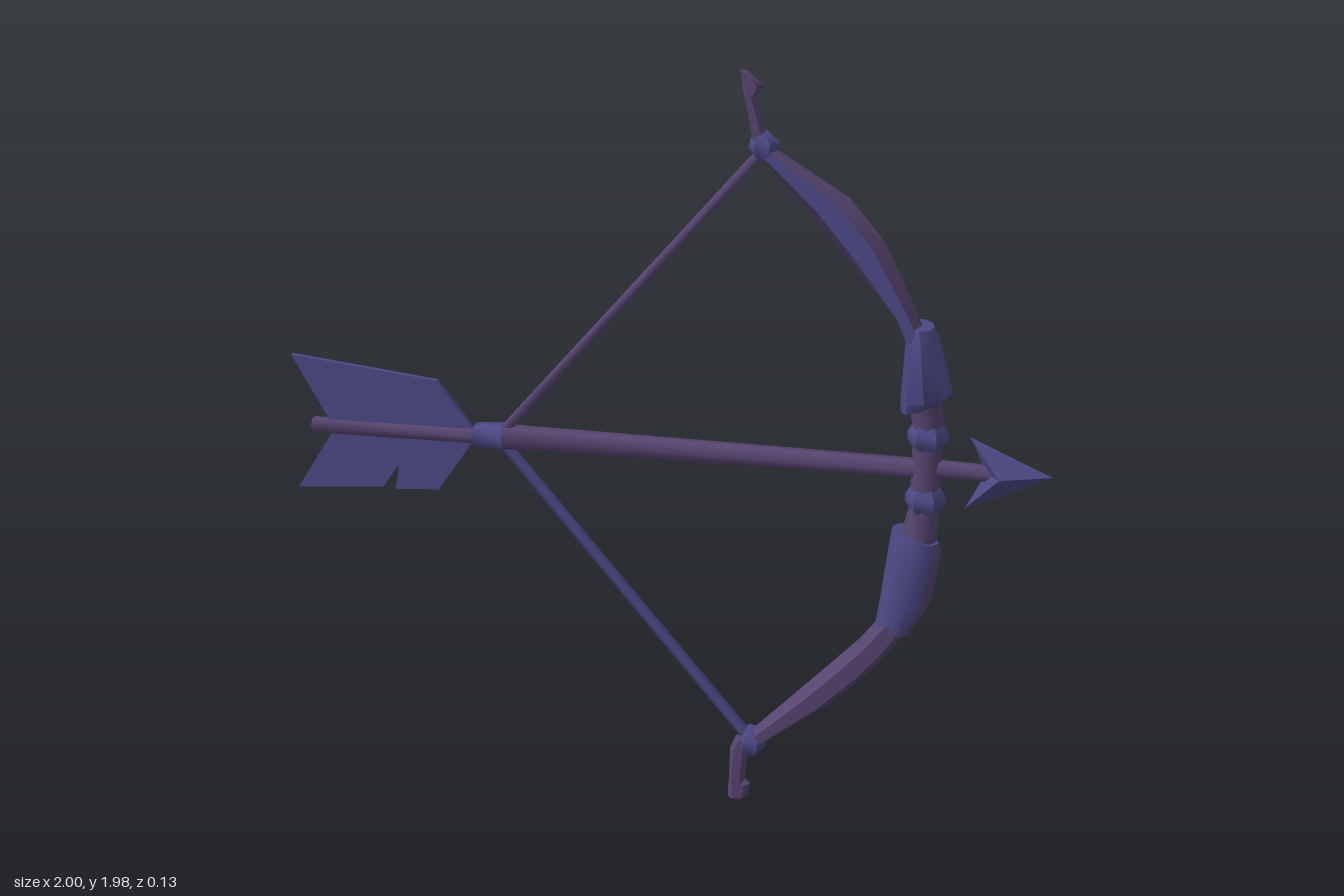
import * as THREE from 'three';
import { toCreasedNormals } from 'three/addons/utils/BufferGeometryUtils.js';

const indigo = new THREE.MeshStandardMaterial({ color: 0x4d4a88 });
indigo.name = 'indigo';
const mauve = new THREE.MeshStandardMaterial({ color: 0x574570 });
mauve.name = 'mauve';

// Lofts a tube upwards through rings [innerX, innerY, outerX, outerY, halfDepth].
// Sides listed in accents take the second material of a pair.
function loft(rings, sides = 8, accents = []) {
  const pos = [], index = [];
  const g = new THREE.BufferGeometry();
  for (const [ax, ay, bx, by, d] of rings) {
    for (let j = 0; j < sides; j++) {
      const a = (j / sides) * Math.PI * 2, c = Math.cos(a) / 2;
      pos.push((ax + bx) / 2 + (bx - ax) * c, (ay + by) / 2 + (by - ay) * c, Math.sin(a) * d);
    }
  }
  for (let j = 0; j < sides; j++) {
    const k = (j + 1) % sides, start = index.length;
    for (let i = 0; i < rings.length - 1; i++) {
      const p = i * sides, q = p + sides;
      index.push(p + j, q + j, q + k, p + j, q + k, p + k);
    }
    g.addGroup(start, index.length - start, accents.includes(j) ? 1 : 0);
  }
  // End caps
  const top = (rings.length - 1) * sides, capStart = index.length;
  for (let j = 1; j < sides - 1; j++) {
    index.push(0, j, j + 1, top, top + j + 1, top + j);
  }
  g.addGroup(capStart, index.length - capStart, 0);
  g.setAttribute('position', new THREE.Float32BufferAttribute(pos, 3));
  g.setIndex(index);
  return toCreasedNormals(g, 0.85);
}

// Cylinder between two points in the z = 0 plane
function rod(x0, y0, x1, y1, r0, r1, sides = 6) {
  const g = new THREE.CylinderGeometry(r1, r0, Math.hypot(x1 - x0, y1 - y0), sides);
  g.rotateZ(Math.atan2(y1 - y0, x1 - x0) - Math.PI / 2);
  g.translate((x0 + x1) / 2, (y0 + y1) / 2, 0);
  return toCreasedNormals(g, 1.1);
}

// Flat plate centred on z = 0
function plate(points, depth) {
  const shape = new THREE.Shape(points.map(([x, y]) => new THREE.Vector2(x, y)));
  const g = new THREE.ExtrudeGeometry(shape, { depth, bevelEnabled: false });
  return g.translate(0, 0, -depth / 2);
}

export function createModel() {
  const model = new THREE.Group();
  model.name = 'bowAndArrow';
  const add = (name, geometry, material) => {
    const mesh = new THREE.Mesh(geometry, material);
    mesh.name = name;
    model.add(mesh);
  };

  // Curved limbs, straight inside and bowed outside
  add('upperLimb', loft([
    [0.615, 1.33, 0.67, 1.34, 0.058], [0.585, 1.395, 0.645, 1.40, 0.058], [0.465, 1.53, 0.563, 1.57, 0.05],
    [0.365, 1.645, 0.47, 1.68, 0.044], [0.24, 1.78, 0.275, 1.80, 0.034],
  ], 6, [1]), [mauve, indigo]);
  add('lowerLimb', loft([
    [0.24, 0.20, 0.275, 0.165, 0.035], [0.36, 0.325, 0.46, 0.31, 0.044], [0.455, 0.425, 0.56, 0.41, 0.05],
    [0.53, 0.505, 0.62, 0.49, 0.055], [0.58, 0.57, 0.66, 0.56, 0.058],
  ], 6), mauve);

  // Sleeves covering the limb roots
  add('upperSleeve', loft([
    [0.615, 1.135, 0.725, 1.18, 0.045], [0.612, 1.165, 0.742, 1.195, 0.06],
    [0.62, 1.34, 0.705, 1.335, 0.064], [0.622, 1.37, 0.69, 1.365, 0.054],
  ]), indigo);
  add('lowerSleeve', loft([
    [0.57, 0.56, 0.66, 0.53, 0.052], [0.58, 0.63, 0.712, 0.63, 0.059],
    [0.60, 0.80, 0.732, 0.77, 0.062], [0.605, 0.83, 0.725, 0.79, 0.052],
  ], 8, [0, 7]), [indigo, mauve]);

  // Grip with two collars
  add('grip', loft([
    [0.62, 0.78, 0.715, 0.78, 0.046], [0.643, 0.88, 0.722, 0.88, 0.04], [0.648, 1.0, 0.72, 1.0, 0.037],
    [0.645, 1.1, 0.724, 1.1, 0.04], [0.63, 1.19, 0.715, 1.2, 0.047],
  ]), mauve);
  for (const [name, y] of [['lowerCollar', 0.91], ['upperCollar', 1.08]]) {
    add(name, loft([
      [0.645, y - 0.03, 0.724, y - 0.03, 0.042], [0.633, y - 0.01, 0.737, y - 0.01, 0.055],
      [0.633, y + 0.01, 0.737, y + 0.01, 0.055], [0.645, y + 0.03, 0.724, y + 0.03, 0.042],
    ], 6), indigo);
  }

  // Knots and hooked tips
  for (const [name, x, y] of [['upperKnot', 0.255, 1.8], ['lowerKnot', 0.248, 0.178]]) {
    add(name, loft([
      [x - 0.015, y - 0.038, x + 0.02, y - 0.036, 0.026], [x - 0.038, y - 0.008, x + 0.038, y - 0.018, 0.041],
      [x - 0.033, y + 0.014, x + 0.04, y + 0.01, 0.039], [x - 0.018, y + 0.035, x + 0.015, y + 0.03, 0.026],
    ], 6), indigo);
  }
  add('upperTip', loft([
    [0.229, 1.80, 0.268, 1.80, 0.031], [0.214, 1.88, 0.247, 1.875, 0.028], [0.206, 1.915, 0.232, 1.92, 0.025],
    [0.204, 1.925, 0.246, 1.932, 0.025], [0.2, 1.945, 0.251, 1.95, 0.023], [0.195, 1.982, 0.222, 1.972, 0.021],
  ], 6), mauve);
  add('lowerTip', loft([
    [0.185, 0, 0.24, 0.008, 0.022], [0.186, 0.04, 0.246, 0.045, 0.026], [0.187, 0.05, 0.23, 0.052, 0.027],
    [0.19, 0.15, 0.24, 0.15, 0.032], [0.205, 0.185, 0.255, 0.18, 0.03],
  ], 6), mauve);

  // Drawn string
  add('upperString', rod(-0.43, 1.0, 0.25, 1.785, 0.015, 0.013), mauve);
  add('lowerString', rod(-0.43, 0.98, 0.235, 0.19, 0.015, 0.016), indigo);

  // Arrow shaft and nock
  add('shaftRear', rod(-0.95, 0.986, -0.46, 0.99, 0.022, 0.022), mauve);
  add('shaft', rod(-0.45, 0.992, 0.66, 0.992, 0.034, 0.026), mauve);
  add('shaftFront', rod(0.64, 0.992, 0.85, 0.992, 0.026, 0.022), mauve);
  add('nock', rod(-0.5, 0.992, -0.42, 0.992, 0.032, 0.038), indigo);

  // Arrowhead: ridged diamond with swept-back barbs
  const tip = [1, 0.992, 0], notch = [0.835, 0.992, 0];
  const ring = [[0.79, 1.085, 0], [0.87, 0.992, 0.05], [0.785, 0.892, 0], [0.87, 0.992, -0.05]];
  const tris = ring.flatMap((p, i) => {
    const q = ring[(i + 1) % 4];
    return [tip, p, q, notch, q, p].flat();
  });
  const head = new THREE.BufferGeometry();
  head.setAttribute('position', new THREE.Float32BufferAttribute(tris, 3));
  head.computeVertexNormals();
  add('arrowhead', head, indigo);

  // Feathers, the lower one with a nick
  add('upperFeather', plate([
    [-0.9, 0.99], [-0.5, 0.99], [-0.505, 1.01], [-0.6, 1.135], [-1, 1.18], [-0.9, 1.0],
  ], 0.014), indigo);
  add('lowerFeather', plate([
    [-0.9, 0.985], [-0.9, 0.965], [-1, 0.805], [-0.76, 0.825], [-0.712, 0.895], [-0.725, 0.822],
    [-0.605, 0.83], [-0.505, 0.975], [-0.5, 0.985],
  ], 0.014), indigo);

  return model;
}
